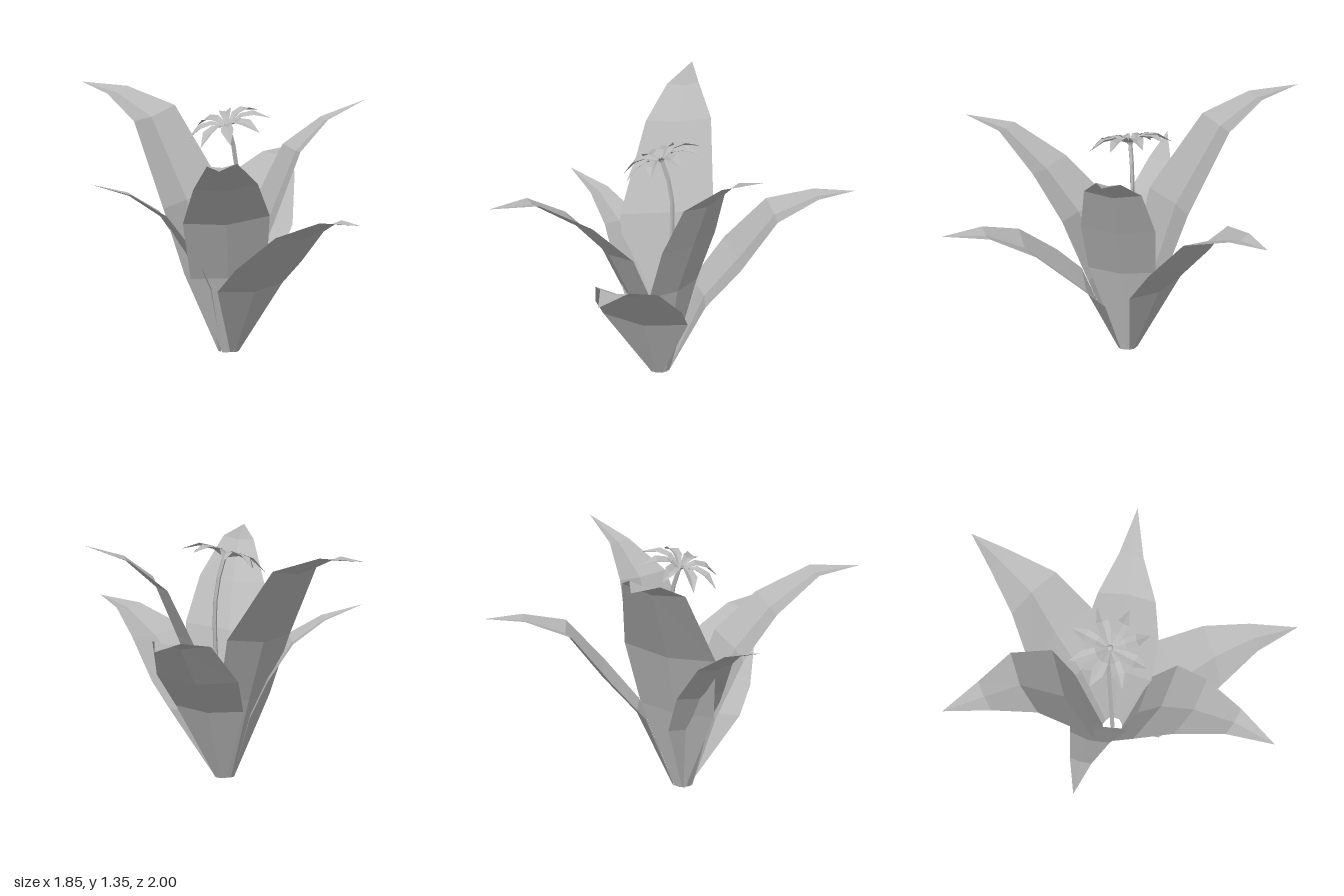
import * as THREE from 'three';

const UP = new THREE.Vector3(0, 1, 0);

// Folded blade: each section is [x, y, z, halfWidth]; the midrib sinks below the two edges.
function blade(sections, roll, fold) {
  const pts = sections.map(([x, y, z]) => new THREE.Vector3(x, y, z));
  const last = pts.length - 1;
  const heading = pts[last].clone().sub(pts[0]).setY(0).normalize();
  const side = UP.clone().cross(heading).setY(roll);
  const rows = pts.map((p, i) => {
    const along = pts[Math.min(i + 1, last)].clone().sub(pts[Math.max(i - 1, 0)]);
    const normal = along.cross(side).normalize();
    const w = sections[i][3];
    return [
      p.clone().addScaledVector(side, -w),
      p.clone().addScaledVector(normal, -w * fold),
      p.clone().addScaledVector(side, w),
    ];
  });
  const out = [];
  const tri = (...c) => c.forEach((v) => out.push(v.x, v.y, v.z));
  for (let i = 0; i < last; i++) {
    for (let j = 0; j < 2; j++) {
      const a = rows[i][j], b = rows[i][j + 1], c = rows[i + 1][j + 1], d = rows[i + 1][j];
      tri(a, d, b);
      if (i < last - 1) tri(b, d, c);
    }
  }
  const geo = new THREE.BufferGeometry();
  geo.setAttribute('position', new THREE.Float32BufferAttribute(out, 3));
  geo.computeVertexNormals();
  return geo;
}

export function createModel() {
  const model = new THREE.Group();
  model.name = 'floweringPlant';
  const grey = new THREE.MeshStandardMaterial({ color: 0xb8b8b8, flatShading: true, side: THREE.DoubleSide });
  grey.name = 'plant grey';
  const add = (parent, name, geo) => {
    const mesh = new THREE.Mesh(geo, grey);
    mesh.name = name;
    parent.add(mesh);
    return mesh;
  };

  // Big leaves fanning out of one root, from the first broad section to the tip
  const leaves = [
    ['backLeaf', 0, [[0, 0.42, -0.16, 0.19], [-0.01, 0.63, -0.34, 0.23], [-0.01, 0.87, -0.55, 0.165],
      [-0.035, 0.94, -0.79, 0.075], [-0.05, 0.94, -1, 0]]],
    ['tallRightLeaf', -0.13, [[-0.12, 0.45, 0.02, 0.2], [-0.22, 0.8, -0.02, 0.25], [-0.47, 1.22, -0.115, 0.175],
      [-0.7, 1.325, -0.17, 0.085], [-0.93, 1.345, -0.25, 0]]],
    ['frontLeaf', 0.1, [[0.05, 0.42, 0.16, 0.2], [0.09, 0.74, 0.3, 0.23], [0.16, 0.95, 0.5, 0.17],
      [0.235, 1.105, 0.755, 0.08], [0.31, 1.11, 1, 0]]],
    ['lowLeftLeaf', 0, [[0.165, 0.36, 0.145, 0.235], [0.29, 0.49, 0.2, 0.24], [0.5, 0.68, 0.29, 0.175],
      [0.71, 0.775, 0.385, 0.08], [0.92, 0.78, 0.5, 0]]],
    ['backLeftLeaf', 0, [[0.1, 0.5, -0.01, 0.18], [0.19, 0.8, -0.08, 0.2], [0.29, 1.07, -0.15, 0.155],
      [0.43, 1.22, -0.27, 0.065], [0.61, 1.31, -0.42, 0]]],
    ['frontRightLeaf', 0, [[-0.1, 0.35, 0.09, 0.14], [-0.18, 0.55, 0.14, 0.15], [-0.3, 0.74, 0.215, 0.11],
      [-0.45, 0.85, 0.31, 0.06], [-0.62, 0.91, 0.44, 0]]],
  ];
  for (const [name, roll, body] of leaves) {
    const tip = body[body.length - 1];
    const dir = new THREE.Vector3(tip[0] - 0.01, 0, tip[2] - 0.05).normalize();
    const root = [0.01 + dir.x * 0.045, 0, 0.05 + dir.z * 0.045, 0.03];
    add(model, name, blade([root, ...body], roll, 0.18));
  }

  // Bent flower stem
  const path = new THREE.CatmullRomCurve3([
    new THREE.Vector3(0.01, 0, 0.05), new THREE.Vector3(0.025, 0.45, 0.015),
    new THREE.Vector3(0.035, 0.85, -0.015), new THREE.Vector3(0.025, 1.05, -0.005),
    new THREE.Vector3(0, 1.21, 0.04),
  ]);
  add(model, 'stem', new THREE.TubeGeometry(path, 10, 0.012, 5));

  // Flower head tilted forward, with eight arched petals
  const flower = new THREE.Group();
  flower.name = 'flower';
  flower.position.set(0, 1.205, 0.04);
  flower.rotation.set(0.33, 0, 0.16);
  model.add(flower);
  const petal = blade([[0, 0, 0.012, 0.008], [0, 0.035, 0.08, 0.028], [0, 0.03, 0.15, 0.034], [0, -0.025, 0.23, 0]], 0, 0.4);
  for (let i = 0; i < 8; i++) {
    add(flower, 'petal', petal).rotation.y = (i + 0.5) * Math.PI / 4;
  }
  const heart = add(flower, 'flowerHeart', new THREE.SphereGeometry(0.02, 6, 4));
  heart.scale.y = 0.7;

  return model;
}
